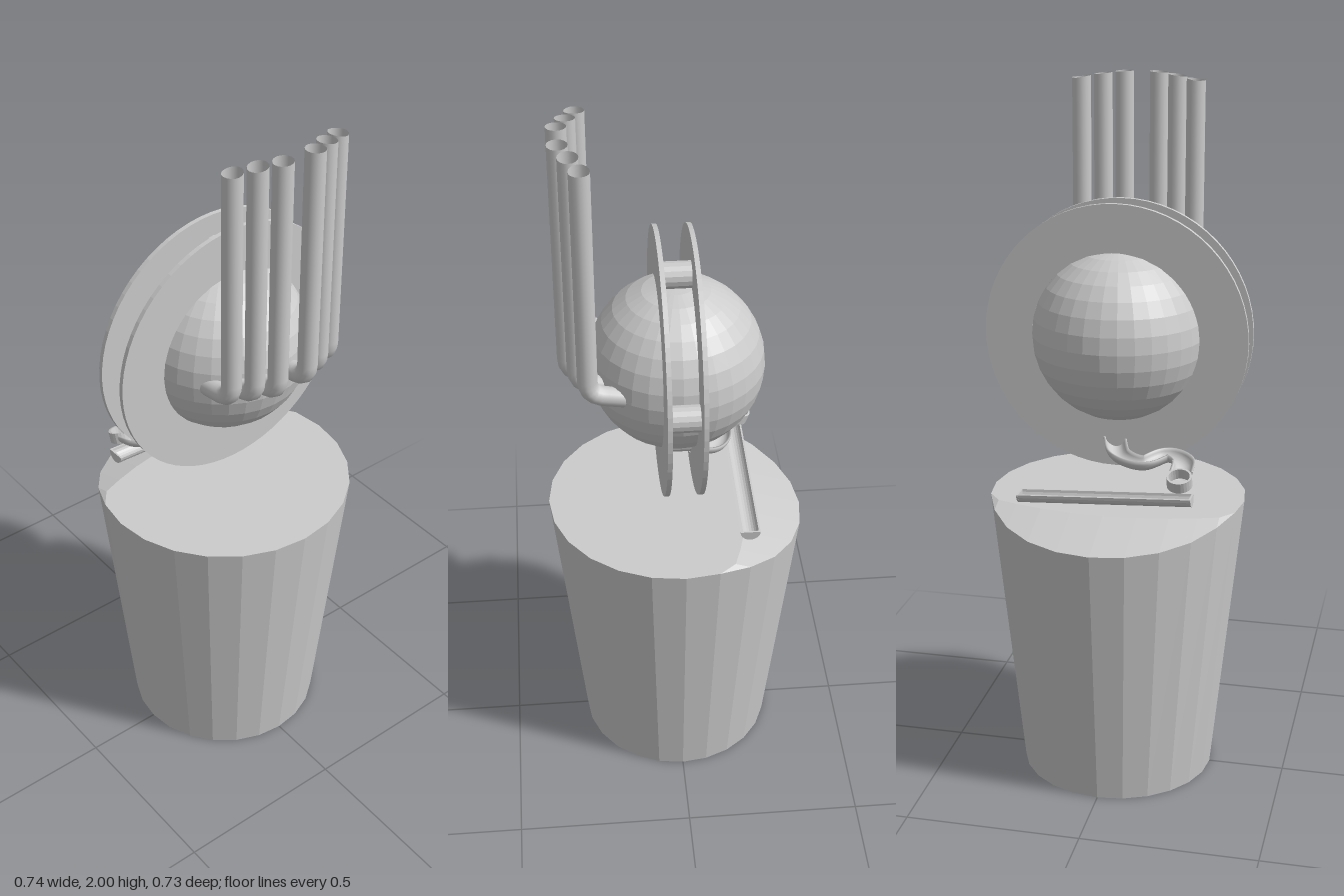
import * as THREE from 'three';
import { mergeVertices } from 'three/addons/utils/BufferGeometryUtils.js';

const flat = new THREE.MeshStandardMaterial({ color: 0xcccccc, flatShading: true });
const flatThin = new THREE.MeshStandardMaterial({ color: 0xcccccc, flatShading: true, side: THREE.DoubleSide });
const smoothThin = new THREE.MeshStandardMaterial({ color: 0xcccccc, side: THREE.DoubleSide });
const V = (x, y, z) => new THREE.Vector3(x, y, z);

function add(parent, name, geometry, material) {
  const mesh = new THREE.Mesh(geometry, material);
  mesh.name = name;
  parent.add(mesh);
  return mesh;
}

// Triangles from rows of points of equal length
function loft(rows) {
  const pos = [], index = [], n = rows[0].length;
  rows.forEach(row => row.forEach(p => pos.push(p.x, p.y, p.z)));
  for (let i = 0; i < rows.length - 1; i++) {
    for (let j = 0; j < n - 1; j++) {
      const a = i * n + j, b = a + n;
      index.push(a, b, a + 1, b, b + 1, a + 1);
    }
  }
  const g = new THREE.BufferGeometry();
  g.setAttribute('position', new THREE.Float32BufferAttribute(pos, 3));
  g.setIndex(index);
  const merged = mergeVertices(g);
  merged.computeVertexNormals();
  return merged;
}

// Half-round section swept along a curve, opening upwards
function trough(curve, outer, inner, steps) {
  const section = [], n = 10;
  for (let i = 0; i <= n; i++) section.push([outer, Math.PI * i / n]);
  for (let i = n; i >= 0; i--) section.push([inner, Math.PI * i / n]);
  section.push(section[0]);
  const rows = [];
  for (let s = 0; s <= steps; s++) {
    const p = curve.getPointAt(s / steps), t = curve.getTangentAt(s / steps);
    const side = t.clone().cross(V(0, 1, 0)).normalize();
    const up = side.clone().cross(t);
    rows.push(section.map(([r, a]) => p.clone()
      .addScaledVector(side, r * Math.cos(a))
      .addScaledVector(up, -r * Math.sin(a))));
  }
  return loft(rows);
}

// Tapered bucket whose lid falls away behind a curved crease
function addBucket(parent) {
  const R = 0.366, r = 0.28, H = 0.84, N = 24;
  const crease = x => -0.2 + 0.59 * x * x;
  const lidPoint = (x, z) => V(x, H - 0.34 * Math.max(0, crease(x) - z), z);
  const ring = [...Array(N + 1).keys()].map(i => {
    const a = i / N * Math.PI * 2;
    return [Math.cos(a), Math.sin(a)];
  });
  const bucket = new THREE.Group();
  bucket.name = 'bucket';
  parent.add(bucket);
  add(bucket, 'bucketWall', loft([
    ring.map(([c, s]) => V(r * c, 0, r * s)),
    ring.map(([c, s]) => lidPoint(R * c, R * s)),
  ]), flatThin);
  const base = add(bucket, 'bucketBase', new THREE.CircleGeometry(r, N), flatThin);
  base.rotation.x = Math.PI / 2;
  const front = [], back = [], middle = [];
  for (const [c, s] of ring.slice(0, N / 2 + 1)) {
    const x = R * c, z = R * Math.abs(s);
    const m = Math.min(z, Math.max(-z, crease(x)));
    front.push(lidPoint(x, z));
    middle.push(lidPoint(x, m));
    back.push(lidPoint(x, -z));
  }
  add(bucket, 'bucketLid', loft([back, middle, front]), flatThin);
}

// Ball held between two flat rings with round spacers
function addWheel(parent) {
  const wheel = new THREE.Group();
  wheel.name = 'wheel';
  wheel.position.set(-0.003, 1.312, -0.003);
  parent.add(wheel);
  add(wheel, 'ball', new THREE.SphereGeometry(0.243, 32, 16), flat);

  const shape = new THREE.Shape().absarc(0, 0, 0.371, 0, Math.PI * 2);
  shape.holes.push(new THREE.Path().absarc(0, 0, 0.236, 0, Math.PI * 2, true));
  const ringGeo = new THREE.ExtrudeGeometry(shape, { depth: 0.013, bevelEnabled: false, curveSegments: 32 });
  for (const z of [0.04, -0.053]) add(wheel, z > 0 ? 'frontRing' : 'backRing', ringGeo, flat).position.z = z;

  const spacerGeo = new THREE.CylinderGeometry(0.037, 0.037, 0.082, 16).rotateX(Math.PI / 2);
  for (let i = 0; i < 4; i++) {
    const a = i * Math.PI / 2;
    add(wheel, 'spacer', spacerGeo, flat).position.set(0.271 * Math.cos(a), 0.271 * Math.sin(a), 0);
  }
}

// Upright open pipes that bend back into the ball
function addPipes(parent) {
  const pipes = new THREE.Group();
  pipes.name = 'pipes';
  parent.add(pipes);
  for (const side of [-1, 1]) {
    [[0.05, 0.294], [0.107, 0.27], [0.164, 0.245]].forEach(([offset, z]) => {
      const x = side * offset - 0.003;
      const path = new THREE.CurvePath();
      const a = V(x, 1.37, z), b = V(x, 1.32, z - 0.05);
      path.add(new THREE.LineCurve3(V(x, 2, z), a));
      path.add(new THREE.QuadraticBezierCurve3(a, V(x, 1.325, z), b));
      path.add(new THREE.LineCurve3(b, V(x, 1.312, 0.14)));
      const geo = new THREE.TubeGeometry(path, 44, 0.027, 16);
      // Rounded-off tops, lower towards the outside
      const p = geo.attributes.position;
      for (let i = 0; i < p.count; i++) {
        if (p.getY(i) > 1.99) p.setY(i, 2 - 0.6 * p.getX(i) ** 2);
      }
      add(pipes, 'pipe', geo, smoothThin);
    });
  }
}

// Winding chute with a drain ring at its low end
function addChute(parent) {
  const chute = new THREE.Group();
  chute.name = 'chute';
  parent.add(chute);
  const slope = 0.36;
  const points = [[0, -0.05], [-0.03, -0.115], [-0.1, -0.14], [-0.165, -0.1], [-0.21, -0.125], [-0.215, -0.18]]
    .map(([x, z]) => V(x, 1.045 + slope * z, z));
  add(chute, 'chuteTrough', trough(new THREE.CatmullRomCurve3(points), 0.032, 0.026, 40), smoothThin);
  const profile = [[0.029, -0.016], [0.035, -0.016], [0.035, 0.016], [0.029, 0.016], [0.029, -0.016]]
    .map(([x, y]) => new THREE.Vector2(x, y));
  const drain = add(chute, 'drainRing', new THREE.LatheGeometry(profile, 24), flatThin);
  drain.position.set(-0.215, 0.962, -0.203);
  drain.rotation.x = -Math.atan(slope);
}

// Straight gutter with closed ends
function addGutter(parent) {
  const gutter = new THREE.Group();
  gutter.name = 'gutter';
  parent.add(gutter);
  const a = V(-0.248, 0.913, -0.19), b = V(0.243, 0.888, -0.19);
  const along = b.clone().sub(a).normalize().multiplyScalar(0.005);
  add(gutter, 'gutterTrough', trough(new THREE.LineCurve3(a, b), 0.028, 0.023, 1), flatThin);
  const capShape = new THREE.Shape().absarc(0, 0, 0.028, Math.PI, Math.PI * 2);
  const capGeo = new THREE.ExtrudeGeometry(capShape, { depth: 0.005, bevelEnabled: false, curveSegments: 10 })
    .rotateY(Math.PI / 2);
  for (const p of [a, b.clone().sub(along)]) {
    const cap = add(gutter, 'gutterEnd', capGeo, flatThin);
    cap.position.copy(p);
    cap.rotation.z = Math.atan2(along.y, along.x);
  }
}

export function createModel() {
  const model = new THREE.Group();
  model.name = 'ballMachine';
  addBucket(model);
  addWheel(model);
  addPipes(model);
  addChute(model);
  addGutter(model);
  return model;
}
